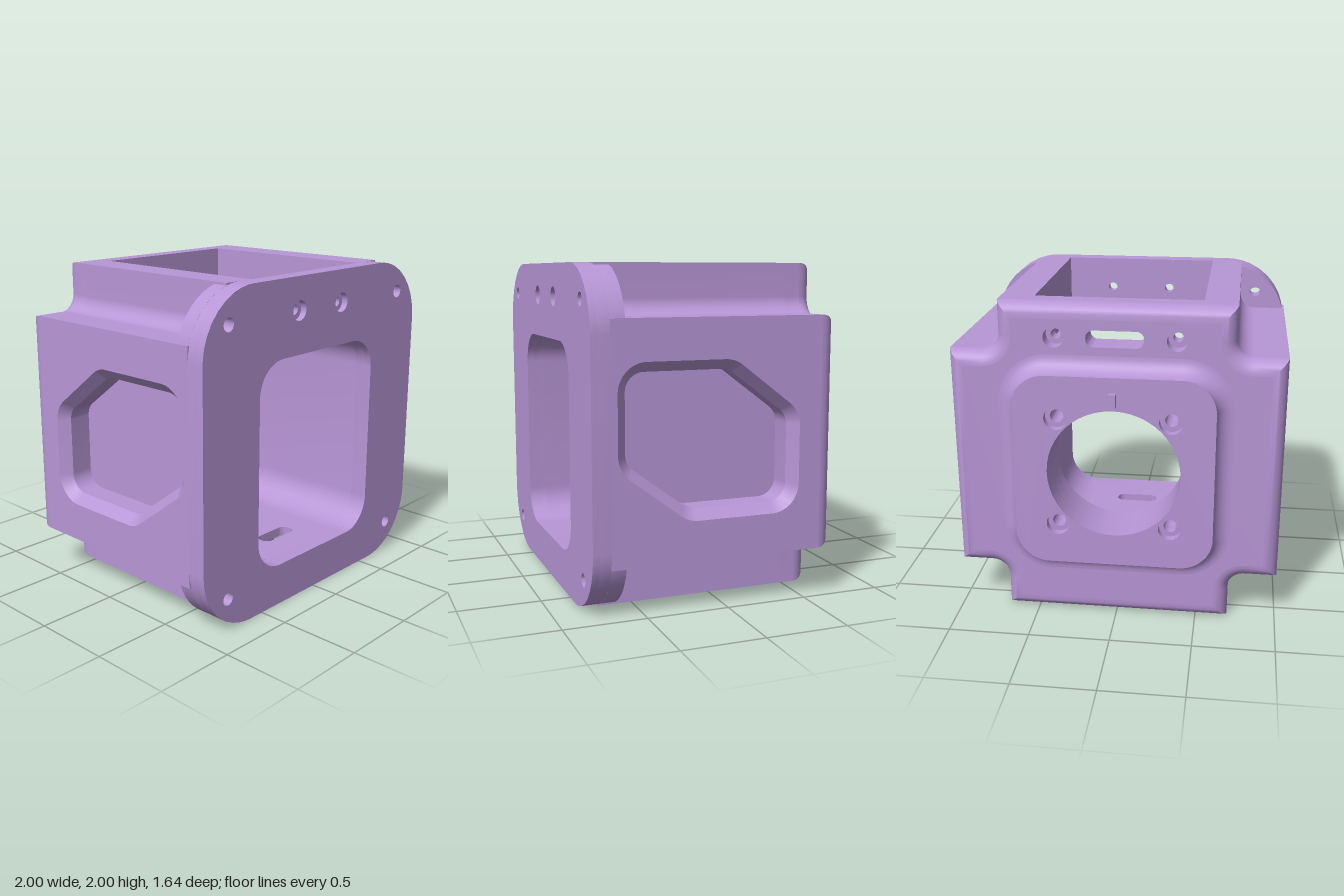
import * as THREE from 'three';
import { toCreasedNormals } from 'three/addons/utils/BufferGeometryUtils.js';

const V2 = (x, y) => new THREE.Vector2(x, y);
const COLOR = 0xb796d6;
const solid = new THREE.MeshStandardMaterial({ color: COLOR });
const skin = new THREE.MeshStandardMaterial({ color: COLOR, side: THREE.DoubleSide });

// Outline from corners [x, y, radius]; corners with a radius become arcs
function outline(corners, steps = 10) {
  const out = [], n = corners.length;
  corners.forEach(([x, y, r], i) => {
    const p = V2(x, y);
    if (!r) { out.push(p); return; }
    const u = V2(...corners[(i + n - 1) % n]).sub(p).normalize();
    const v = V2(...corners[(i + 1) % n]).sub(p).normalize();
    const half = Math.acos(u.dot(v)) / 2;
    const c = u.clone().add(v).normalize().multiplyScalar(r / Math.sin(half)).add(p);
    const a = u.multiplyScalar(r / Math.tan(half)).add(p).sub(c);
    const b = v.multiplyScalar(r / Math.tan(half)).add(p).sub(c);
    for (let k = 0; k <= steps; k++) {
      out.push(a.clone().lerp(b, k / steps).setLength(r).add(c));
    }
  });
  return out;
}
const rect = (cx, cy, w, h, r = 0) => outline([
  [cx - w, cy - h, r], [cx + w, cy - h, r], [cx + w, cy + h, r], [cx - w, cy + h, r]]);
const circle = (x, y, r) => new THREE.Path().absarc(x, y, r, 0, Math.PI * 2, true).getPoints(24);

// Slab between two depths along local z
function slab(points, holes, z0, z1) {
  const shape = new THREE.Shape(points);
  shape.holes = holes.map((h) => new THREE.Path(h));
  const g = new THREE.ExtrudeGeometry(shape, { depth: z1 - z0, bevelEnabled: false });
  return toCreasedNormals(g.translate(0, 0, z0), 0.5);
}

// Skin through closed outlines, each given as [points, depth]
function loft(rings) {
  const n = rings[0][0].length, pos = [], index = [];
  rings.forEach(([pts, z]) => pts.forEach((p) => pos.push(p.x, p.y, z)));
  for (let j = 0; j < rings.length - 1; j++) {
    for (let i = 0; i < n; i++) {
      const a = j * n + i, b = j * n + (i + 1) % n;
      index.push(a, b, b + n, a, b + n, a + n);
    }
  }
  const g = new THREE.BufferGeometry();
  g.setAttribute('position', new THREE.Float32BufferAttribute(pos, 3));
  g.setIndex(index);
  return toCreasedNormals(g, 0.6);
}

// Body cross-section with notched, filleted corners, shrunk by d
function cross(d) {
  const h = 1 - d, n = 0.7 - d, r = 0.1 + d;
  return outline([
    [h, -n], [h, n], [n, n, r], [n, h], [-n, h], [-n, n, r],
    [-h, n], [-h, -n], [-n, -n, r], [-n, -h], [n, -h], [n, -n, r],
  ].map(([x, y, q]) => [x, y + 1, q]));
}

export function createModel() {
  const group = new THREE.Group();
  const add = (name, geo, mat = solid) => {
    const m = new THREE.Mesh(geo, mat);
    m.name = name;
    group.add(m);
    return m;
  };
  const corners = [[1, 1], [-1, 1], [-1, -1], [1, -1]];
  const pair = (x, y, r) => [circle(x, y, r), circle(-x, y, r)];

  // Front flange with square opening, corner holes and two counterbored holes
  const flange = rect(0, 1, 1, 1, 0.4);
  const opening = rect(0, 0.9, 0.54, 0.64, 0.2);
  const mounts = corners.map(([sx, sy]) => circle(sx * 0.8, 1 + sy * 0.8, 0.04));
  add('frontFlange', slab(flange, [opening, ...mounts, ...pair(0.2, 1.8, 0.06)], 0.78, 0.82));
  add('frontFlangeRear', slab(flange, [opening, ...mounts, ...pair(0.2, 1.8, 0.03)], 0.71, 0.78));
  corners.forEach(([sx, sy], i) => {
    const ear = [V2(sx * 0.6, 1 + sy * 0.6)];
    for (let k = 0; k <= 12; k++) {
      const a = k * Math.PI / 24;
      ear.push(V2(sx * (0.6 + 0.4 * Math.cos(a)), 1 + sy * (0.6 + 0.4 * Math.sin(a))));
    }
    add('flangeCorner', slab(ear, [mounts[i]], 0.62, 0.71));
  });

  // Side walls around the cavity, with the ledge of the top opening
  const cavityArc = (a0, a1, cy) => Array.from({ length: 9 }, (_, k) => {
    const a = a0 + (a1 - a0) * k / 8;
    return V2(0.34 + 0.2 * Math.cos(a), cy + 0.2 * Math.sin(a));
  });
  const wall = [
    ...outline([[0.34, 0.2], [0.7, 0.2], [0.7, 0.3, 0.1], [0.8, 0.3]]).slice(0, -1),
    ...outline([[0.8, 0.3], [0.8, 1.7], [0.7, 1.7, 0.1], [0.7, 2], [0.5, 2], [0.5, 1.6], [0.46, 1.6]]),
    ...cavityArc(0.927, 0, 1.34), ...cavityArc(0, -Math.PI / 2, 0.46),
  ].filter((p, i, a) => i === 0 || p.distanceTo(a[i - 1]) > 1e-4);
  for (const s of [1, -1]) {
    add('cavityWall', slab(wall.map((p) => V2(s * p.x, p.y)), [], -0.49, 0.71));
  }
  const lip = cavityArc(0.927, Math.PI / 2, 1.34);
  add('frontLedge', slab([V2(-0.46, 1.6), V2(0.46, 1.6), ...lip,
    ...lip.map((p) => V2(-p.x, p.y)).reverse()], [], 0.66, 0.71));

  // Side plates, each with a blind chamfered window
  const windowOuter = [[-0.03, 1.46], [-0.45, 1.14], [-0.45, 0.54], [0.25, 0.54], [0.67, 0.86], [0.67, 1.46]];
  const windowInner = [[-0.01, 1.4], [-0.39, 1.115], [-0.39, 0.6], [0.23, 0.6], [0.61, 0.885], [0.61, 1.4]];
  for (const s of [1, -1]) {
    const win = (pts, r) => outline(pts.map(([z, y]) => [-s * z, y, r]));
    const outer = win(windowOuter, 0.17), inner = win(windowInner, 0.11);
    const plate = rect(-s * 0.11, 1, 0.6, 0.7);
    const turn = (g) => g.rotateY(s * Math.PI / 2);
    add('sidePlate', turn(slab(plate, [inner], 0.8, 0.94)));
    add('sidePlateFace', turn(slab(plate, [outer], 0.94, 1)));
    add('windowChamfer', turn(loft([[inner, 0.94], [outer, 1]])), skin);
  }

  // Floor with two slots, and the base plate with its ring-shaped recess
  const lay = (g, y) => g.rotateX(Math.PI / 2).translate(0, y, 0);
  const slots = [-0.28, 0.5].map((z) => rect(0, z, 0.14, 0.05, 0.045));
  add('cavityFloor', lay(slab(rect(0, 0.12, 0.34, 0.59), slots, 0, 0.06), 0.26));
  const base = rect(0, 0.11, 0.7, 0.6);
  const bore = (r) => Array.from({ length: 48 }, (_, i) =>
    V2(r * Math.cos(i * Math.PI / 24), 0.11 + r * Math.sin(i * Math.PI / 24)));
  add('basePlate', lay(slab(base, [bore(0.45)], 0, 0.15), 0.2));
  add('basePlateFace', lay(slab(base, [bore(0.5)], 0, 0.05), 0.05));
  add('recessChamfer', new THREE.CylinderGeometry(0.45, 0.5, 0.05, 48, 1, true), skin).position.set(0, 0.025, 0.11);
  add('recessHub', new THREE.CylinderGeometry(0.29, 0.29, 0.2, 48)).position.set(0, 0.1, 0.11);

  // Back wall with round port, screw holes, slot and rounded rear edge
  const port = bore(0.4).map((p) => V2(p.x, p.y + 0.89));
  const screws = (r) => corners.map(([sx, sy]) => circle(sx * 0.34, 1 + sy * 0.34, r));
  const vent = rect(0, 1.8, 0.17, 0.05, 0.045);
  add('backWallInner', slab(rect(0, 0.91, 0.6, 0.69), [port, ...screws(0.04)], -0.49, -0.45));
  add('backWall', slab(cross(0), [port, vent, ...screws(0.04), ...pair(0.36, 1.8, 0.03)], -0.59, -0.49));
  add('backWallFace', slab(cross(0.09), [port, vent, ...screws(0.04), ...pair(0.36, 1.8, 0.06)], -0.68, -0.59));
  const arc = Array.from({ length: 9 }, (_, k) => k * Math.PI / 16);
  add('backRoundedEdge', loft(arc.map((t) =>
    [cross(0.09 * (1 - Math.cos(t))), -0.59 - 0.09 * Math.sin(t)])), skin);

  // Raised rear pad with flared foot, counterbored screws and locating pin
  const pad = (e) => rect(0, 1, 0.6 + e, 0.6 + e, 0.2 + e);
  add('rearPad', slab(pad(0), [port, ...screws(0.04)], -0.73, -0.68));
  add('rearPadFace', slab(pad(0), [port, ...screws(0.07)], -0.78, -0.73));
  add('rearPadFillet', loft(arc.map((t) =>
    [pad(0.1 * (1 - Math.cos(t))), -0.78 + 0.1 * Math.sin(t)])), skin);
  add('locatingPin', new THREE.BoxGeometry(0.04, 0.08, 0.08)).position.set(0, 1.47, -0.78);

  return group;
}
